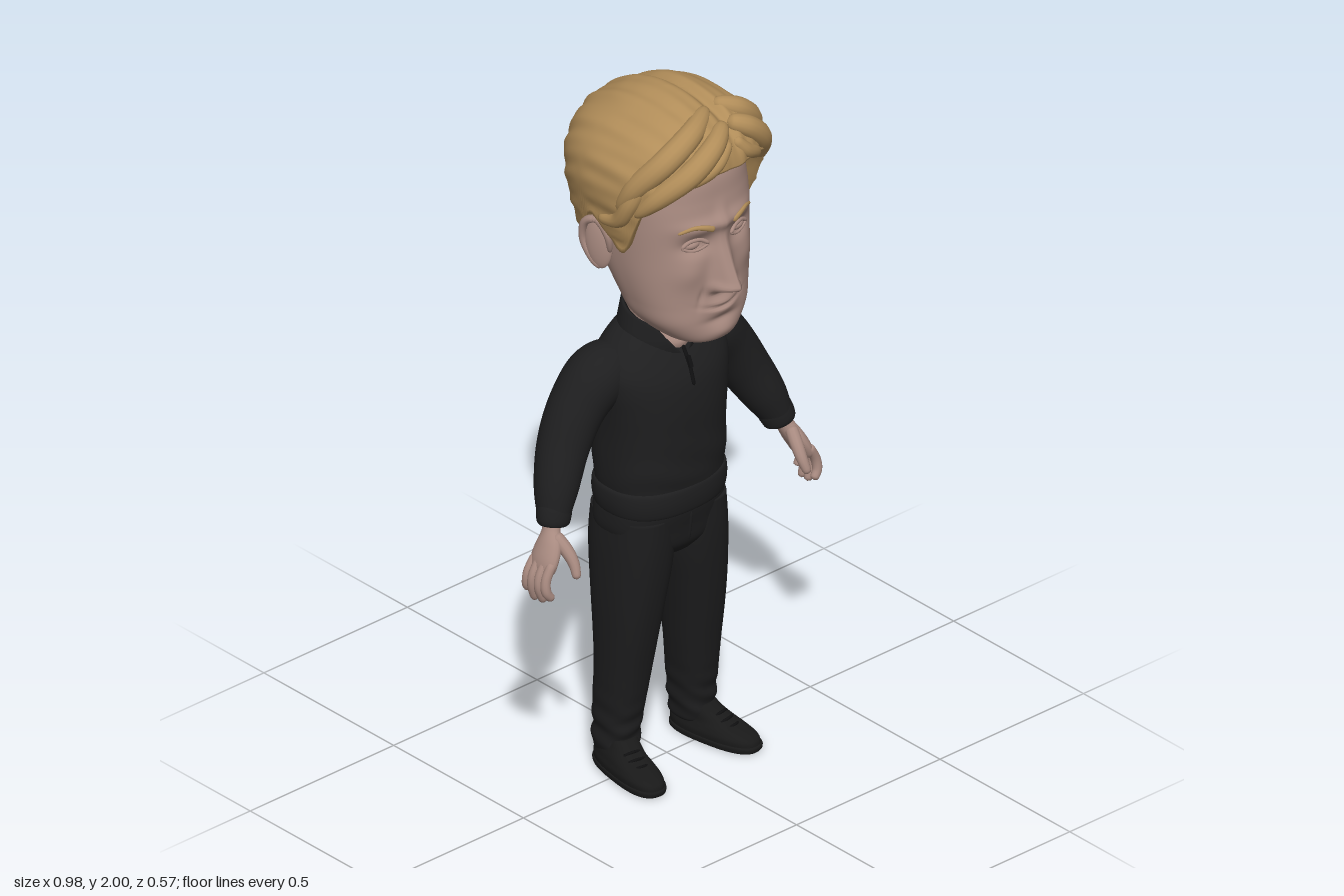
import * as THREE from 'three';

const mat = (name, color) => { const m = new THREE.MeshStandardMaterial({ color }); m.name = name; return m; };
const V = (x, y, z) => new THREE.Vector3(x, y, z);
const gauss = (d, s) => Math.exp(-(d / s) * (d / s));

// Skin a stack of closed rings (counter-clockwise about the travel direction), capped at both ends
function skin(rings) {
  const n = rings[0].length, pos = [], idx = [];
  rings.forEach(r => r.forEach(p => pos.push(p.x, p.y, p.z)));
  for (let i = 0; i < rings.length - 1; i++) for (let j = 0; j < n; j++) {
    const k = (j + 1) % n, a = i * n + j, b = i * n + k;
    idx.push(a, b, b + n, a, b + n, a + n);
  }
  [0, rings.length - 1].forEach((row, end) => {
    const c = rings[row].reduce((s, p) => s.add(p), V(0, 0, 0)).divideScalar(n), ci = pos.length / 3;
    pos.push(c.x, c.y, c.z);
    for (let j = 0; j < n; j++) {
      const a = row * n + j, b = row * n + (j + 1) % n;
      if (end) idx.push(a, b, ci); else idx.push(b, a, ci);
    }
  });
  const g = new THREE.BufferGeometry();
  g.setAttribute('position', new THREE.Float32BufferAttribute(pos, 3));
  g.setIndex(idx);
  g.computeVertexNormals();
  return g;
}

// Catmull-Rom resampling of a small table of rows
function smooth(t, count) {
  const out = [], last = t.length - 1;
  for (let s = 0; s <= count; s++) {
    const f = s / count * last, i = Math.min(Math.floor(f), last - 1), u = f - i;
    const [a, b, c, d] = [t[Math.max(i - 1, 0)], t[i], t[i + 1], t[Math.min(i + 2, last)]];
    out.push(b.map((_, k) => 0.5 * (2 * b[k] + (c[k] - a[k]) * u + (2 * a[k] - 5 * b[k] + 4 * c[k] - d[k]) * u * u
      + (3 * b[k] - a[k] - 3 * c[k] + d[k]) * u * u * u)));
  }
  return out;
}

// Linear lookup by the first (ascending) column
function at(t, x) {
  let i = 0;
  while (i < t.length - 2 && t[i + 1][0] < x) i++;
  const u = THREE.MathUtils.clamp((x - t[i][0]) / (t[i + 1][0] - t[i][0] || 1), 0, 1);
  return t[i].map((v, k) => v + (t[i + 1][k] - v) * u);
}

// Superellipse point; angle 0 is the front, growing toward +x
function oval(a, rx, zf, zb, n) {
  const s = Math.sin(a), c = Math.cos(a), m = (zf + zb) / 2, r = (zf - zb) / 2;
  return [rx * Math.sign(s) * Math.abs(s) ** (2 / n), m + r * Math.sign(c) * Math.abs(c) ** (2 / n)];
}

// Vertical loft; rows are [y, centreX, halfWidth, frontZ, backZ]
function loft(table, rows, cols, n = 2.4, warp = null) {
  return skin(smooth(table, rows).map(([y, cx, rx, zf, zb]) => Array.from({ length: cols }, (_, j) => {
    const a = j / cols * Math.PI * 2, [x, z] = oval(a, rx, zf, zb, n), p = V(cx + x, y, z);
    if (warp) warp(p, a);
    return p;
  })));
}

// Tapered limb along a curve; points are [x, y, z, radius towards z, other radius]
function limb(pts, rows = 24, cols = 16, rounded = true) {
  const s = smooth(pts.map(p => p.length < 5 ? [...p, p[3]] : p), rows);
  return skin(s.map((p, i) => {
    const q = s[Math.min(i + 1, rows)], o = s[Math.max(i - 1, 0)];
    const t = V(q[0] - o[0], q[1] - o[1], q[2] - o[2]).normalize();
    const u = V(0, 0, 1).addScaledVector(t, -t.z).normalize(), v = t.clone().cross(u);
    const e = Math.min(i, rows - i) / rows * 8, k = rounded && e < 1 ? Math.sqrt(1 - (1 - e) ** 2) * 0.95 + 0.05 : 1;
    return Array.from({ length: cols }, (_, j) => {
      const a = j / cols * Math.PI * 2;
      return V(p[0], p[1], p[2]).addScaledVector(u, Math.cos(a) * p[3] * k).addScaledVector(v, Math.sin(a) * p[4] * k);
    });
  }));
}

function mirrored(g) {
  const m = g.clone().scale(-1, 1, 1), ix = m.index.array;
  for (let i = 0; i < ix.length; i += 3) [ix[i], ix[i + 1]] = [ix[i + 1], ix[i]];
  m.computeVertexNormals();
  return m;
}

// Face profile and its sculpted relief
const HEAD = [[1.322, 0, .03, .16, .06], [1.328, 0, .075, .195, .02], [1.345, 0, .108, .212, -.02], [1.395, 0, .153, .214, -.06],
  [1.45, 0, .17, .21, -.09], [1.52, 0, .183, .21, -.14], [1.6, 0, .191, .212, -.2], [1.68, 0, .195, .212, -.23],
  [1.75, 0, .195, .203, -.24], [1.82, 0, .18, .19, -.23], [1.89, 0, .14, .14, -.17], [1.93, 0, .07, .07, -.09]];
const HEADFINE = smooth(HEAD, 130);
function relief(x, y) {
  const ax = Math.abs(x), up = THREE.MathUtils.clamp((1.665 - y) / 0.155, 0, 1), under = THREE.MathUtils.smoothstep(y, 1.472, 1.508);
  return (0.008 + 0.068 * up ** 1.4) * under * gauss(x, 0.017 + 0.012 * up) * (y < 1.7 ? 1 : gauss(y - 1.7, .03))
    + 0.018 * gauss(ax - .028, .012) * gauss(y - 1.502, .014)
    - 0.02 * gauss(ax - .075, .042) * gauss(y - 1.632, .026)
    + 0.012 * gauss(y - 1.685, .02) * gauss(x * x, .0144)
    + 0.008 * gauss(ax - .1, .04) * gauss(y - 1.55, .04)
    - 0.005 * gauss(ax - .06 - (1.49 - y) * .25, .008) * gauss(y - 1.475, .03)
    + (0.017 * gauss(y - 1.437, .026) - 0.012 * gauss(y - 1.436 - ax * ax * 2, .006)) * gauss(x, .05)
    + 0.01 * gauss(x, .045) * gauss(y - 1.362, .022) - 0.006 * gauss(x, .05) * gauss(y - 1.398, .011);
}
function faceZ(x, y) {
  const [, , rx, zf, zb] = at(HEADFINE, y), m = (zf + zb) / 2;
  return m + (zf - m) * (1 - Math.min(1, Math.abs(x / rx)) ** 2.4) ** (1 / 2.4) + relief(x, y);
}

// Hair cap: extents by height and hairline height by angle from the front
const HAIR = smooth([[1.43, .09, .1, -.1], [1.48, .15, .15, -.185], [1.55, .195, .2, -.24], [1.65, .222, .215, -.272], [1.74, .238, .22, -.285],
  [1.82, .24, .23, -.273], [1.9, .205, .217, -.232], [1.96, .135, .165, -.15], [1.985, .085, .1, -.09], [1.996, .04, .05, -.045], [2.0, .004, .005, -.005]], 100);
const LINE = smooth([[0, 1.84], [30, 1.835], [50, 1.79], [65, 1.69], [76, 1.61], [86, 1.63], [95, 1.69], [103, 1.66], [112, 1.53], [124, 1.46], [150, 1.445], [180, 1.44]], 90);
function hairCap() {
  const rows = 64, cols = 180, rings = [];
  for (let i = -3; i <= rows; i++) rings.push(Array.from({ length: cols }, (_, j) => {
    const a = j / cols * Math.PI * 2, deg = 180 - Math.abs(180 - a * 180 / Math.PI);
    const low = at(LINE, deg)[1], y = 2 - (2 - low) * (1 - Math.max(i, 0) / rows) ** 1.9;
    const [, rx, zf, zb] = at(HAIR, y), front = oval(a, rx, zf, -zf, 2.5), back = oval(a, rx, -zb, zb, 2.1);
    const w = THREE.MathUtils.smoothstep(Math.cos(a), -.4, .4), k = 1 + Math.min(i, 0) * 0.07;
    const p = V((back[0] + (front[0] - back[0]) * w) * k, y, (Math.cos(a) > 0 ? front[1] : back[1]) * k);
    const phi = Math.atan2(p.x - .05, p.y - 1.5);
    const strand = (Math.sin(phi * 36 + p.z * 4) + .6 * Math.sin(phi * 63 - p.z * 7)) * 0.0022;
    p.addScaledVector(V(p.x, p.y - 1.7, p.z).normalize(), strand);
    p.y -= 0.022 * gauss(p.x - .05, .02) * THREE.MathUtils.smoothstep(p.y, 1.8, 1.95);
    return p;
  }));
  return skin(rings);
}

export function createModel() {
  const root = new THREE.Group();
  root.name = 'figure';
  const skinM = mat('skin', 0xa88a80), hairM = mat('hair', 0xb18d59), knit = mat('sweater black', 0x1e1e1f),
    cloth = mat('trouser black', 0x1c1c1d), shoe = mat('shoe black', 0x191919), metal = mat('zip black', 0x101011);
  const add = (name, g, m) => { const o = new THREE.Mesh(g, m); o.name = name; root.add(o); return o; };
  const pair = (name, g, m) => { add(name + 'Left', g, m); add(name + 'Right', mirrored(g), m); };

  // Head and neck
  add('head', loft(HEAD, 130, 160, 2.4, (p, a) => {
    p.z += relief(p.x, p.y) * THREE.MathUtils.smoothstep(Math.cos(a), .1, .5);
  }), skinM);
  add('neck', loft([[1.18, 0, .04, .02, -.09], [1.25, 0, .06, .064, -.1], [1.29, 0, .07, .046, -.108], [1.34, 0, .08, .03, -.112],
    [1.42, 0, .085, .03, -.112], [1.5, 0, .09, .02, -.11]], 24, 40, 2.1), skinM);

  // Eyes, lids and brows
  const eye = new THREE.SphereGeometry(1, 24, 16).scale(.034, .018, .03).translate(.075, 1.63, faceZ(.075, 1.63) - .019);
  pair('eye', eye, skinM);
  for (const [name, h, r] of [['upperLid', .018, .006], ['lowerLid', -.014, .004]])
    pair(name, limb([-1, -.5, 0, .5, 1].map(u => {
      const x = .075 + u * .038, y = 1.63 + h * (1 - u * u);
      return [x, y, faceZ(x, y) + .003, r];
    }), 20, 8), skinM);
  pair('eyebrow', limb([[.032, 1.676], [.06, 1.688], [.09, 1.692], [.125, 1.678]].map(([x, y], i) =>
    [x, y, faceZ(x, y), .005, .009 - i * .0015]), 20, 10), hairM);

  // Ears: shell, rim and lobe
  pair('ear', new THREE.SphereGeometry(1, 24, 16).scale(.016, .075, .04).rotateY(-.35).rotateX(-.12).translate(.206, 1.595, -.035), skinM);
  pair('earRim', limb([[.198, 1.575, .0, .008], [.21, 1.63, .004, .01], [.221, 1.672, -.022, .011], [.229, 1.655, -.062, .011],
    [.226, 1.6, -.075, .01], [.215, 1.55, -.055, .011], [.203, 1.522, -.025, .013]], 36, 10), skinM);

  // Hair cap with swept locks
  add('hairCap', hairCap(), hairM);
  const locks = [
    [[.045, 1.94, .165, .022], [-.03, 1.915, .212, .03], [-.11, 1.865, .213, .033], [-.18, 1.8, .165, .028], [-.213, 1.735, .11, .012]],
    [[.035, 1.965, .11, .02], [-.06, 1.945, .16, .032], [-.15, 1.895, .16, .035], [-.208, 1.82, .11, .03], [-.226, 1.74, .06, .014]],
    [[.035, 1.905, .2, .015], [-.02, 1.865, .215, .022], [-.08, 1.842, .212, .02], [-.13, 1.825, .196, .008]],
    [[.06, 1.94, .165, .022], [.11, 1.915, .185, .03], [.165, 1.86, .173, .032], [.205, 1.79, .13, .026], [.22, 1.73, .09, .012]],
    [[.065, 1.965, .1, .02], [.125, 1.94, .13, .03], [.185, 1.88, .115, .032], [.22, 1.8, .075, .024], [.228, 1.73, .04, .012]],
    [[.055, 1.905, .2, .014], [.085, 1.865, .206, .021], [.13, 1.835, .191, .019], [.165, 1.8, .165, .008]]];
  locks.forEach((l, i) => add('hairLock' + (i + 1), limb(l, 30, 14), hairM));
  pair('templeLock', limb([[.2, 1.83, .125, .02], [.219, 1.77, .1, .024], [.222, 1.71, .06, .022], [.226, 1.69, -.01, .014]], 24, 12), hairM);
  pair('sideburn', limb([[.212, 1.73, .06, .026, .016], [.203, 1.67, .05, .024, .013], [.194, 1.6, .032, .01, .008]], 20, 12), hairM);

  // Sweater body, hem, collar and zip
  add('sweater', loft([[.79, 0, .165, .1, -.15], [.85, 0, .177, .106, -.164], [.9, 0, .181, .111, -.17], [1.0, 0, .182, .112, -.175],
    [1.08, 0, .188, .112, -.171], [1.15, 0, .197, .104, -.165], [1.2, 0, .196, .086, -.156], [1.25, 0, .166, .056, -.14],
    [1.285, 0, .125, .026, -.127], [1.31, 0, .085, .005, -.115]], 60, 72, 2.4, (p, a) => {
    p.z += .002 * Math.sin(p.y * 60 + 3 * Math.sin(a * 2)) * gauss(p.y - .9, .08) * Math.sign(Math.cos(a));
  }), knit);
  add('sweaterHem', loft([[.772, 0, .168, .098, -.153], [.778, 0, .179, .107, -.163], [.81, 0, .185, .112, -.17], [.842, 0, .183, .11, -.169],
    [.852, 0, .175, .103, -.161]], 16, 72), knit);
  const collar = [], N = 60;
  for (let i = 0; i <= N; i++) {
    const t = i / N, f = Math.abs(2 * t - 1) ** 3; // 1 at the front opening, 0 at the nape
    const lean = f * .012, topY = 1.372 - .05 * Math.abs(2 * t - 1) ** 1.5;
    const P = (gap, r, zr, y) => { const a = gap + t * (2 * Math.PI - 2 * gap); return V(r * Math.sin(a), y, -.035 + zr * Math.cos(a)); };
    collar.push([P(.72, .096 + lean, .085, topY), P(.7, .101 + lean, .09, topY - .007), P(.42, .112, .097, 1.305 - .03 * f),
      P(.08, .125, .102 + .002 * f, 1.25 - .02 * f), P(.08, .11, .088, 1.25 - .02 * f), P(.42, .1, .085, 1.305 - .03 * f),
      P(.72, .087 + lean, .076, topY - .007)]);
  }
  add('collar', skin(collar), knit);
  add('zip', limb([[0, 1.25, .06, .004, .006], [0, 1.2, .088, .004, .006], [0, 1.145, .106, .004, .006]], 12, 8), metal);
  add('zipPull', new THREE.BoxGeometry(.011, .032, .006).rotateX(-.4).translate(0, 1.21, .089), metal);

  // Sleeves and cuffs
  pair('sleeve', limb([[.11, 1.19, -.055, .07], [.185, 1.178, -.06, .084], [.255, 1.11, -.064, .077], [.312, 1.02, -.054, .07],
    [.362, .925, -.026, .059], [.392, .855, -.004, .042]], 48, 28, false), knit);
  pair('cuff', limb([[.379, .885, -.013, .04, .043], [.383, .877, -.01, .045, .049], [.394, .848, -.002, .042, .046], [.397, .838, 0, .034, .038]], 14, 28, false), knit);

  // Hands: palm, four fingers and a thumb
  pair('palm', limb([[.392, .87, -.004, .024, .022], [.406, .83, .004, .026, .022], [.424, .795, .014, .041, .024],
    [.443, .76, .019, .046, .022], [.455, .728, .019, .042, .017]], 24, 20), skinM);
  [[.053, .665, .062], [.03, .648, .034], [.007, .645, .006], [-.014, .668, -.018]].forEach(([z, tip, zt], i) => {
    const r = i === 3 ? .0115 : .0135, c = i * .004;
    pair('finger' + (i + 1), limb([[.445, .765, z, r], [.468 + c / 3, .725, z, r], [.472 + c / 3, .69, (z + zt) / 2, r], [.455 + c, tip, zt, r * .85]], 20, 12), skinM);
  });
  pair('thumb', limb([[.412, .825, .02, .018], [.402, .79, .056, .018], [.398, .757, .082, .015], [.403, .72, .1, .011]], 20, 12), skinM);

  // Trousers
  add('hips', loft([[.635, 0, .07, .06, -.12], [.67, 0, .15, .083, -.148], [.72, 0, .18, .09, -.158], [.77, 0, .18, .096, -.158],
    [.81, 0, .17, .09, -.15]], 24, 64, 2.6), cloth);
  pair('trouserLeg', loft([[.05, .134, .046, .008, -.108], [.065, .133, .052, .014, -.114], [.12, .13, .055, .016, -.115], [.2, .126, .06, .028, -.116],
    [.3, .12, .067, .042, -.113], [.4, .115, .074, .058, -.12], [.5, .108, .082, .072, -.132], [.6, .098, .09, .083, -.147],
    [.68, .093, .091, .088, -.155], [.76, .09, .086, .088, -.152]], 80, 40, 2.4, (p, a) => {
    p.z += .004 * Math.sin(p.y * 110 + 2 * Math.sin(a)) * gauss(p.y - .12, .07);
    p.x += .003 * Math.sin(p.y * 95 + 2 * Math.cos(a)) * gauss(p.y - .12, .08);
  }), cloth);
  add('fly', limb([[0, .765, .096, .003, .005], [0, .72, .091, .003, .005], [0, .675, .084, .003, .005]], 8, 8), cloth);

  // Shoes with soles and laces
  const place = g => g.rotateY(.17).translate(.147, 0, 0);
  pair('sole', place(loft([[0, 0, .05, .152, -.112], [.004, 0, .055, .162, -.118], [.016, 0, .056, .164, -.119], [.02, 0, .052, .158, -.115]], 10, 48, 2.6)), shoe);
  pair('shoe', place(loft([[.014, 0, .053, .16, -.116], [.032, 0, .054, .154, -.117], [.046, 0, .05, .125, -.114], [.06, 0, .046, .08, -.11],
    [.08, -.004, .042, .04, -.106], [.1, -.006, .04, .012, -.102]], 28, 48, 2.5)), shoe);
  for (let i = 0; i < 3; i++) pair('lace' + (i + 1), place(limb([[-.028, .05 + i * .011, .076 - i * .02, .004],
    [0, .058 + i * .011, .087 - i * .022, .004], [.028, .05 + i * .011, .076 - i * .02, .004]], 10, 8)), metal);

  return root;
}
